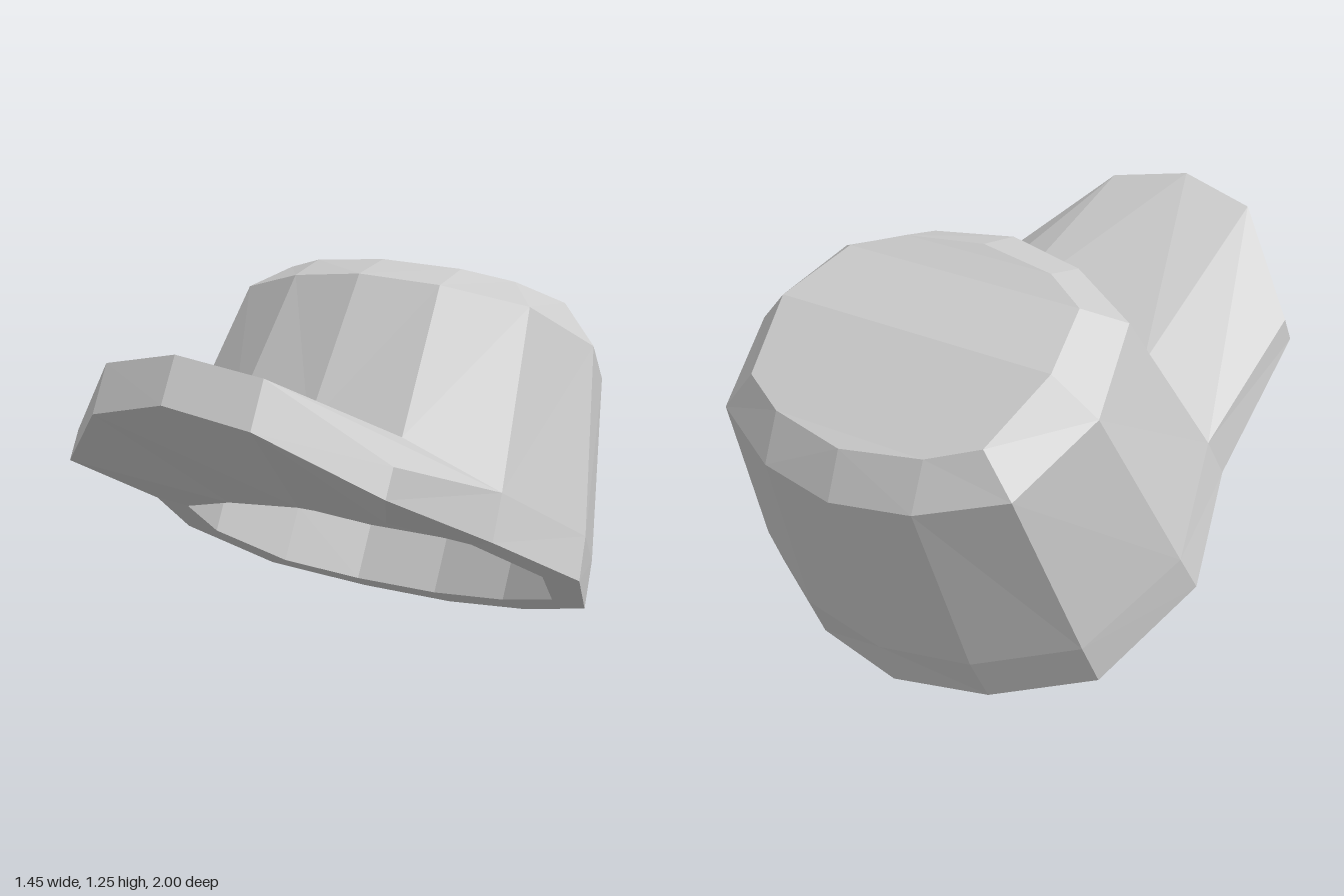
import * as THREE from 'three';

// Every section is the left half of a loop, listed from back centre to front centre.
const crownTop = [[0, 0.88, -0.945], [0.26, 0.905, -0.9], [0.41, 0.95, -0.83], [0.475, 1.1, -0.6],
  [0.41, 1.19, -0.36], [0.26, 1.23, -0.28], [0, 1.25, -0.245]];
const shoulder = [[0, 0.735, -1], [0.26, 0.757, -0.96], [0.51, 0.82, -0.84], [0.6, 0.975, -0.55],
  [0.51, 1.13, -0.255], [0.26, 1.195, -0.135], [0, 1.22, -0.09]];
const band = [[0, 0.15, -0.8], [0.3, 0.175, -0.755], [0.59, 0.255, -0.605], [0.71, 0.425, -0.265],
  [0.59, 0.62, 0.09], [0.3, 0.775, 0.18], [0, 0.795, 0.225]];
const rim = [[0, 0, -0.735], [0.31, 0.03, -0.68], [0.6, 0.11, -0.53], [0.725, 0.3, -0.19], [0.6, 0.485, 0.17]];
const opening = [[0, 0.06, -0.62], [0.28, 0.083, -0.58], [0.51, 0.143, -0.47], [0.605, 0.3, -0.18],
  [0.51, 0.46, 0.13], [0.28, 0.52, 0.24], [0, 0.545, 0.285]];
const visorTip = [[0.535, 0.8, 0.665], [0.26, 1.055, 0.89], [0, 1.105, 0.93]];
const visorLip = [[0.535, 0.715, 0.71], [0.26, 0.92, 0.96], [0, 0.975, 1]];

const toAxis = (loop) => loop.map(([, y, z]) => [0, y, z]);

// Joins pairs of half loops (upper, lower) with faces and mirrors them to the other side
function shell(name, pairs, material) {
  const positions = [];
  const triangle = (...pts) => {
    const [a, b, c] = pts.map((p) => new THREE.Vector3(...p));
    if (new THREE.Triangle(a, b, c).getArea() < 1e-6) return;
    for (const p of pts) positions.push(...p);
    for (const [x, y, z] of pts.reverse()) positions.push(-x, y, z);
  };
  for (const [upper, lower] of pairs) {
    for (let i = 0; i < upper.length - 1; i++) {
      triangle(upper[i], upper[i + 1], lower[i + 1]);
      triangle(upper[i], lower[i + 1], lower[i]);
    }
  }
  const geometry = new THREE.BufferGeometry();
  geometry.setAttribute('position', new THREE.Float32BufferAttribute(positions, 3));
  geometry.computeVertexNormals();
  const mesh = new THREE.Mesh(geometry, material);
  mesh.name = name;
  return mesh;
}

export function createModel() {
  const material = new THREE.MeshStandardMaterial({ color: 0xcccccc, flatShading: true });
  const group = new THREE.Group();
  group.name = 'cap';

  // Shallow head cavity, sunk square to the tilted opening
  const ceiling = opening.map(([x, y, z]) => [x, y + 0.173, z - 0.09]);

  // The opening's front corner serves both the rim and the visor
  const visorOpening = opening.slice(4);

  group.add(
    shell('crown', [
      [toAxis(crownTop), crownTop],
      [crownTop, shoulder],
      [shoulder, band],
      [band.slice(0, 5), rim],
    ], material),
    shell('visor', [
      [band.slice(4), visorTip],
      [[band[4], ...visorTip], [rim[4], ...visorLip]],
      [[rim[4], ...visorLip], [visorOpening[0], ...visorOpening]],
    ], material),
    shell('bottomRim', [[rim, opening.slice(0, 5)]], material),
    shell('innerLining', [
      [opening, ceiling],
      [ceiling, toAxis(ceiling)],
    ], material),
  );
  return group;
}
